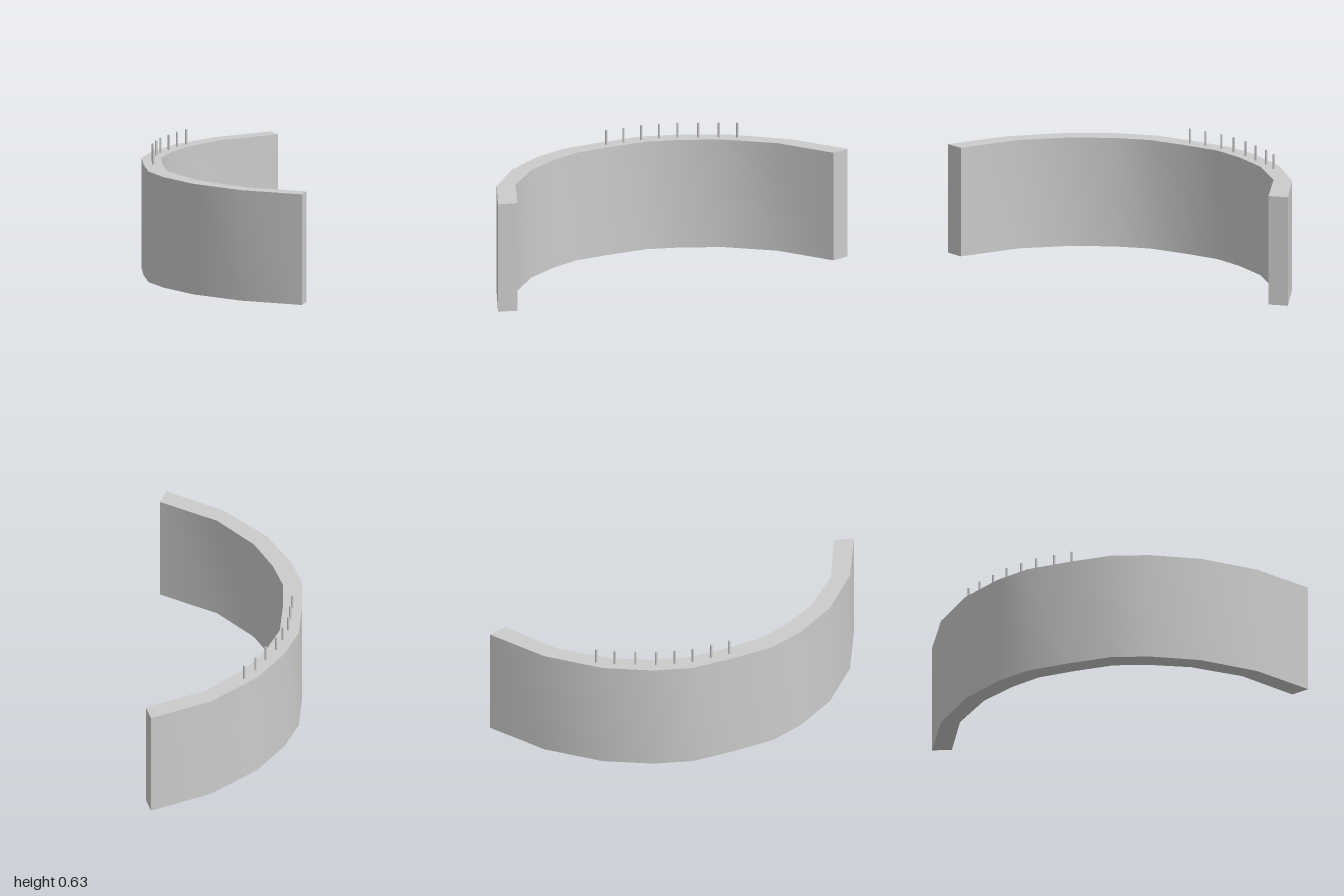
import * as THREE from 'three';
import { toCreasedNormals } from 'three/addons/utils/BufferGeometryUtils.js';

const WALL_HEIGHT = 0.555;
const PIN_HEIGHT = 0.075;

// Half of each plan curve as [x, z], from the free end to the middle
const OUTER = [[0.34, 1], [0.05, 0.84], [-0.17, 0.625], [-0.3, 0.405], [-0.363, 0.22], [-0.37, 0]];
const INNER = [[0.37, 0.905], [0.08, 0.75], [-0.11, 0.55], [-0.21, 0.365], [-0.268, 0.2], [-0.275, 0]];

// Pin positions as [x, z] along the top of the wall
const PINS = [
  [-0.322, -0.002], [-0.316, -0.097], [-0.31, -0.195], [-0.286, -0.283],
  [-0.257, -0.372], [-0.208, -0.462], [-0.161, -0.553], [-0.109, -0.63],
];

// Mirror a half curve across z = 0 into a full end-to-end curve
function mirrored(half) {
  const other = half.slice(0, -1).reverse().map(([x, z]) => [x, -z]);
  return [...half, ...other].map(([x, z]) => new THREE.Vector2(x, z));
}

export function createModel() {
  const model = new THREE.Group();
  model.name = 'curvedWallWithPins';
  const material = new THREE.MeshStandardMaterial({ color: 0xcccccc });

  // Curved wall: closed plan outline raised to the wall height
  const outline = new THREE.Shape([...mirrored(OUTER), ...mirrored(INNER).reverse()]);
  const extruded = new THREE.ExtrudeGeometry(outline, { depth: WALL_HEIGHT, bevelEnabled: false });
  extruded.rotateX(-Math.PI / 2);
  const wall = new THREE.Mesh(toCreasedNormals(extruded, Math.PI / 6), material);
  wall.name = 'curvedWall';
  model.add(wall);

  // Row of thin pins standing on the top edge
  const pins = new THREE.Group();
  pins.name = 'pins';
  const pinGeometry = new THREE.CylinderGeometry(0.006, 0.006, PIN_HEIGHT, 12);
  PINS.forEach(([x, z], i) => {
    const pin = new THREE.Mesh(pinGeometry, material);
    pin.name = `pin${i + 1}`;
    pin.position.set(x, WALL_HEIGHT + PIN_HEIGHT / 2, z);
    pins.add(pin);
  });
  model.add(pins);

  return model;
}
